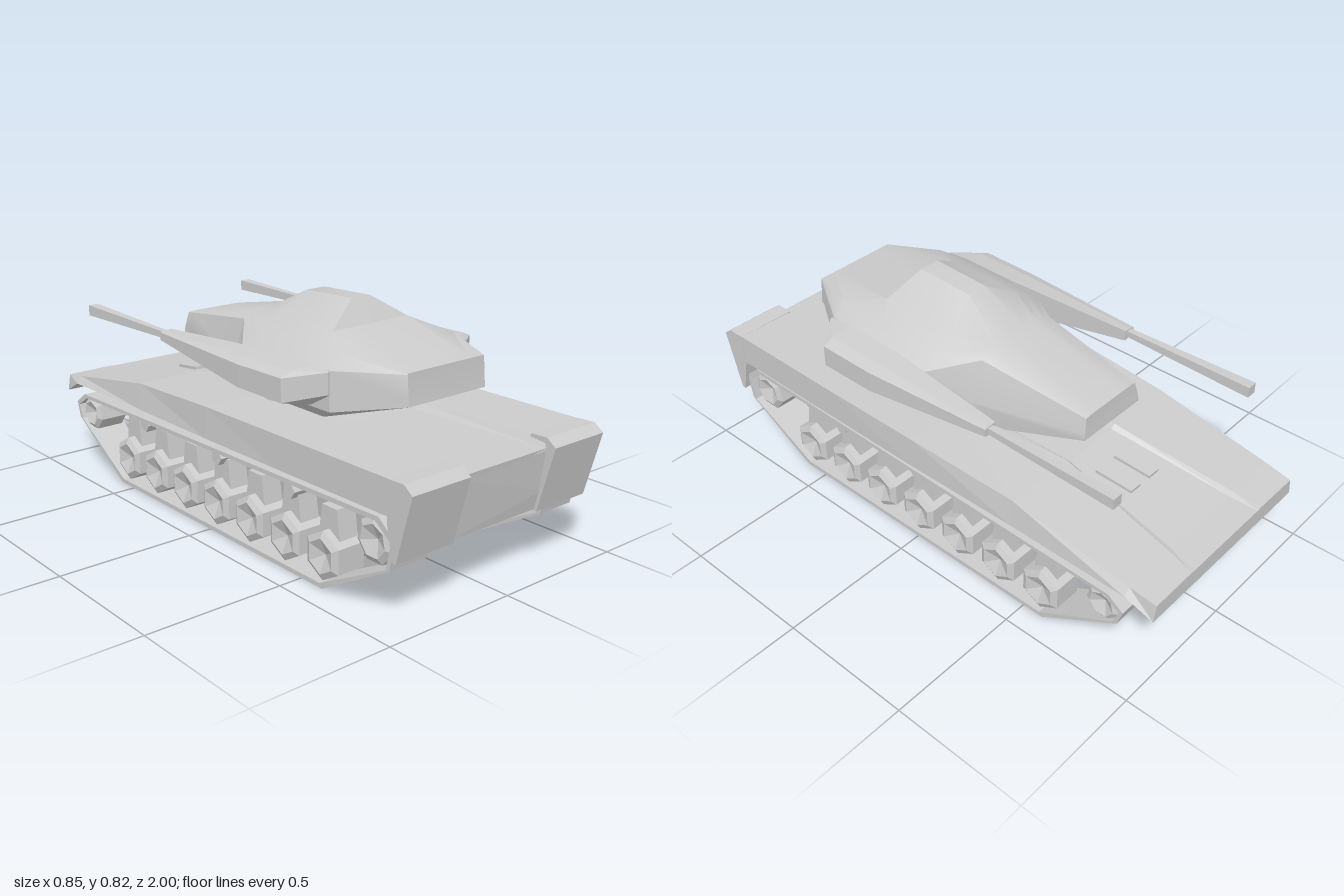
import * as THREE from 'three';
import { toCreasedNormals } from 'three/addons/utils/BufferGeometryUtils.js';

const flat = new THREE.MeshStandardMaterial({ color: 0xcccccc, flatShading: true });
const smooth = new THREE.MeshStandardMaterial({ color: 0xcccccc });

function add(parent, name, geometry, material = flat) {
  const mesh = new THREE.Mesh(geometry, material);
  mesh.name = name;
  parent.add(mesh);
  return mesh;
}

// Skin between rings of [x, y, z] points, ordered from +z to -z, each clockwise seen from +z
function loft(rings) {
  const n = rings[0].length, index = [];
  for (let s = 0; s < rings.length - 1; s++) {
    for (let i = 0; i < n; i++) {
      const a = s * n + i, b = s * n + (i + 1) % n;
      index.push(a, b, b + n, a, b + n, a + n);
    }
  }
  // End caps, triangulated so that notched outlines stay open
  for (const s of [0, rings.length - 1]) {
    const outline = rings[s].map(([x, y]) => new THREE.Vector2(x, y)).reverse();
    for (const tri of THREE.ShapeUtils.triangulateShape(outline, [])) {
      const [a, b, c] = tri.map(j => s * n + n - 1 - j);
      index.push(...(s === 0 ? [a, b, c] : [a, c, b]));
    }
  }
  const g = new THREE.BufferGeometry();
  g.setAttribute('position', new THREE.Float32BufferAttribute(rings.flat(2), 3));
  g.setIndex(index);
  g.computeVertexNormals();
  return g;
}

// Full ring from its +x half, listed top to bottom; z is shared unless a point has its own
const ring = (z, half) => {
  const right = half.map(p => [p[0], p[1], p[2] ?? z]);
  return [...right, ...right.map(p => [-p[0], p[1], p[2]]).reverse()];
};

// Side profile of [z, y] points extruded between two x positions
function sideExtrude(points, xa, xb, hole) {
  const shape = new THREE.Shape(points.map(p => new THREE.Vector2(...p)));
  if (hole) shape.holes.push(new THREE.Path(hole.map(p => new THREE.Vector2(...p))));
  const x0 = Math.min(xa, xb), x1 = Math.max(xa, xb);
  return new THREE.ExtrudeGeometry(shape, { depth: x1 - x0, bevelEnabled: false })
    .rotateY(-Math.PI / 2).translate(x1, 0, 0);
}

// Few-sided wheel with a shallow dish on both faces, axle along x, one corner up
function wheel(r, w, sides) {
  const profile = [[0, -w + 0.025], [r * 0.72, -w], [r, -w + 0.012],
    [r, w - 0.012], [r * 0.72, w], [0, w - 0.025]];
  return new THREE.LatheGeometry(profile.map(p => new THREE.Vector2(...p)), sides)
    .rotateZ(-Math.PI / 2).rotateX(-Math.PI / 2);
}

function buildHull(model) {
  const hull = new THREE.Group();
  hull.name = 'hull';
  model.add(hull);

  // Wide upper hull: sunken deck, shoulder, outer top, outer bottom, underside
  add(hull, 'upperHull', loft([
    ring(0.95, [[0.18, 0.43, 0.965], [0.2, 0.46], [0.425, 0.462], [0.425, 0.347], [0.22, 0.347]]),
    ring(0.4, [[0.14, 0.436], [0.16, 0.456], [0.426, 0.458], [0.426, 0.342], [0.22, 0.342]]),
    ring(0, [[0.15, 0.445], [0.2, 0.451], [0.42, 0.451], [0.425, 0.338], [0.22, 0.338]]),
    ring(-0.44, [[0.115, 0.416], [0.13, 0.43], [0.4, 0.426], [0.415, 0.332], [0.22, 0.332]]),
    ring(-0.9, [[0.165, 0.346], [0.185, 0.353], [0.39, 0.35], [0.41, 0.322], [0.22, 0.322]]),
    ring(-1, [[0.18, 0.333], [0.2, 0.335], [0.385, 0.333], [0.395, 0.27], [0.22, 0.27]]),
  ]));

  // Narrow lower hull with sloped ends
  add(hull, 'lowerHull', loft([
    ring(0.96, [[0.2, 0.42, 0.963], [0.21, 0.28, 0.945], [0.2, 0.215, 0.93]]),
    ring(0.75, [[0.24, 0.345], [0.24, 0.215], [0.22, 0.115]]),
    ring(-0.7, [[0.24, 0.326], [0.24, 0.215], [0.22, 0.115]]),
    ring(-0.98, [[0.24, 0.29], [0.24, 0.28], [0.22, 0.265]]),
  ]));

  // Rear corner blocks hanging in front of the tracks
  const block = [[1, 0.438], [0.965, 0.464], [0.9, 0.462], [0.9, 0.33], [0.925, 0.21], [0.94, 0.21]];
  for (const s of [1, -1]) add(hull, 'rearCornerBlock', sideExtrude(block, s * 0.19, s * 0.427));

  // Paired hatch covers set into the sloped deck
  for (const s of [1, -1]) {
    const cover = add(hull, 'hatchCover', loft([
      [[-0.04, 0.008, 0.07], [0.04, 0.008, 0.07], [0.04, -0.02, 0.07], [-0.04, -0.02, 0.07]],
      [[-0.025, 0.008, -0.07], [0.025, 0.008, -0.07], [0.025, -0.02, -0.07], [-0.025, -0.02, -0.07]],
    ]));
    cover.position.set(s * 0.05, 0.395, -0.6);
    cover.rotation.x = -0.155;
  }
}

function buildRunningGear(model, s) {
  const gear = new THREE.Group();
  gear.name = s > 0 ? 'leftRunningGear' : 'rightRunningGear';
  model.add(gear);

  // Track band as a thin loop; the hole runs the opposite way round
  const loop = [[0.6, 0], [-0.58, 0], [-0.88, 0.19], [-0.9, 0.25], [-0.84, 0.292],
    [0.85, 0.325], [0.92, 0.27], [0.9, 0.17]];
  const inner = loop.map(([z, y]) => [z * 0.982, 0.16 + (y - 0.16) * 0.9]).reverse();
  add(gear, 'track', sideExtrude(loop, s * 0.26, s * 0.412, inner));

  // Road wheels, each with a tapered suspension arm
  for (let i = 0; i < 7; i++) {
    const z = 0.58 - i * 0.189;
    add(gear, 'roadWheel', wheel(0.085, 0.065, 6)).position.set(s * 0.338, 0.1, z);
    add(gear, 'suspensionArm', sideExtrude(
      [[z - 0.055, 0.12], [z + 0.055, 0.12], [z + 0.035, 0.258], [z - 0.035, 0.258]],
      s * 0.29, s * 0.365));
  }

  // Sprocket, idler and return rollers
  add(gear, 'driveSprocket', wheel(0.078, 0.065, 7)).position.set(s * 0.338, 0.234, 0.815);
  add(gear, 'idlerWheel', wheel(0.066, 0.065, 7)).position.set(s * 0.338, 0.22, -0.81);
  for (const z of [0.41, 0.015, -0.44]) {
    const roller = add(gear, 'returnRoller',
      new THREE.CylinderGeometry(0.03, 0.03, 0.15, 5).rotateZ(Math.PI / 2));
    roller.position.set(s * 0.315, 0.267, z);
  }
}

function buildTurret(model) {
  const turret = new THREE.Group();
  turret.name = 'turret';
  model.add(turret);

  // Shell: roof, roof edge, shoulder, upper side, lower side, base
  const shell = loft([
    ring(0.71, [[0.04, 0.68], [0.11, 0.68], [0.168, 0.68], [0.17, 0.676], [0.17, 0.6, 0.717], [0.17, 0.575, 0.72]]),
    ring(0.5, [[0.04, 0.745, 0.365], [0.17, 0.743, 0.365], [0.245, 0.703], [0.298, 0.665], [0.298, 0.53], [0.21, 0.465, 0.37]]),
    ring(0.3, [[0.04, 0.825, 0.31], [0.17, 0.745, 0.355], [0.24, 0.705], [0.298, 0.665], [0.298, 0.53], [0.21, 0.465]]),
    ring(0.05, [[0.04, 0.815, 0.08], [0.17, 0.738], [0.235, 0.697], [0.298, 0.645], [0.298, 0.53], [0.21, 0.465]]),
    ring(-0.1, [[0.04, 0.73], [0.1, 0.727], [0.14, 0.718], [0.175, 0.7], [0.225, 0.55], [0.18, 0.465, -0.21]]),
    ring(-0.51, [[0.04, 0.645], [0.08, 0.645], [0.11, 0.644], [0.13, 0.642], [0.142, 0.59, -0.518], [0.145, 0.565, -0.52]]),
  ]);
  add(turret, 'turretShell', toCreasedNormals(shell, 0.5), smooth);

  const base = add(turret, 'turretRing', new THREE.CylinderGeometry(0.21, 0.21, 0.05, 16));
  base.position.set(0, 0.447, 0.08);

  // Side gun pods with long square barrels
  const podRing = (z, xi, xo, bottom, top, chamfer) => [
    [xi, top, z], [xi + (xo - xi) * 0.65, top - chamfer * 0.4, z], [xo, top - chamfer, z],
    [xo, bottom + chamfer, z], [xi, bottom, z]];
  for (const s of [1, -1]) {
    const side = r => s > 0 ? r : r.map(([x, y, z]) => [-x, y, z]).reverse();
    add(turret, 'gunPod', loft([
      podRing(0.505, 0.302, 0.31, 0.588, 0.665, 0.002),
      podRing(0.415, 0.302, 0.424, 0.537, 0.673, 0.028),
      podRing(0.19, 0.302, 0.424, 0.537, 0.67, 0.028),
      podRing(-0.31, 0.343, 0.39, 0.61, 0.65, 0.006),
    ].map(side)));
    const barrel = add(turret, 'gunBarrel',
      new THREE.CylinderGeometry(0.016, 0.028, 0.53, 4).rotateY(Math.PI / 4).rotateX(Math.PI / 2));
    barrel.position.set(s * 0.366, 0.632, -0.55);
  }
}

export function createModel() {
  const model = new THREE.Group();
  model.name = 'trackedVehicle';
  buildHull(model);
  for (const s of [1, -1]) buildRunningGear(model, s);
  buildTurret(model);
  return model;
}
